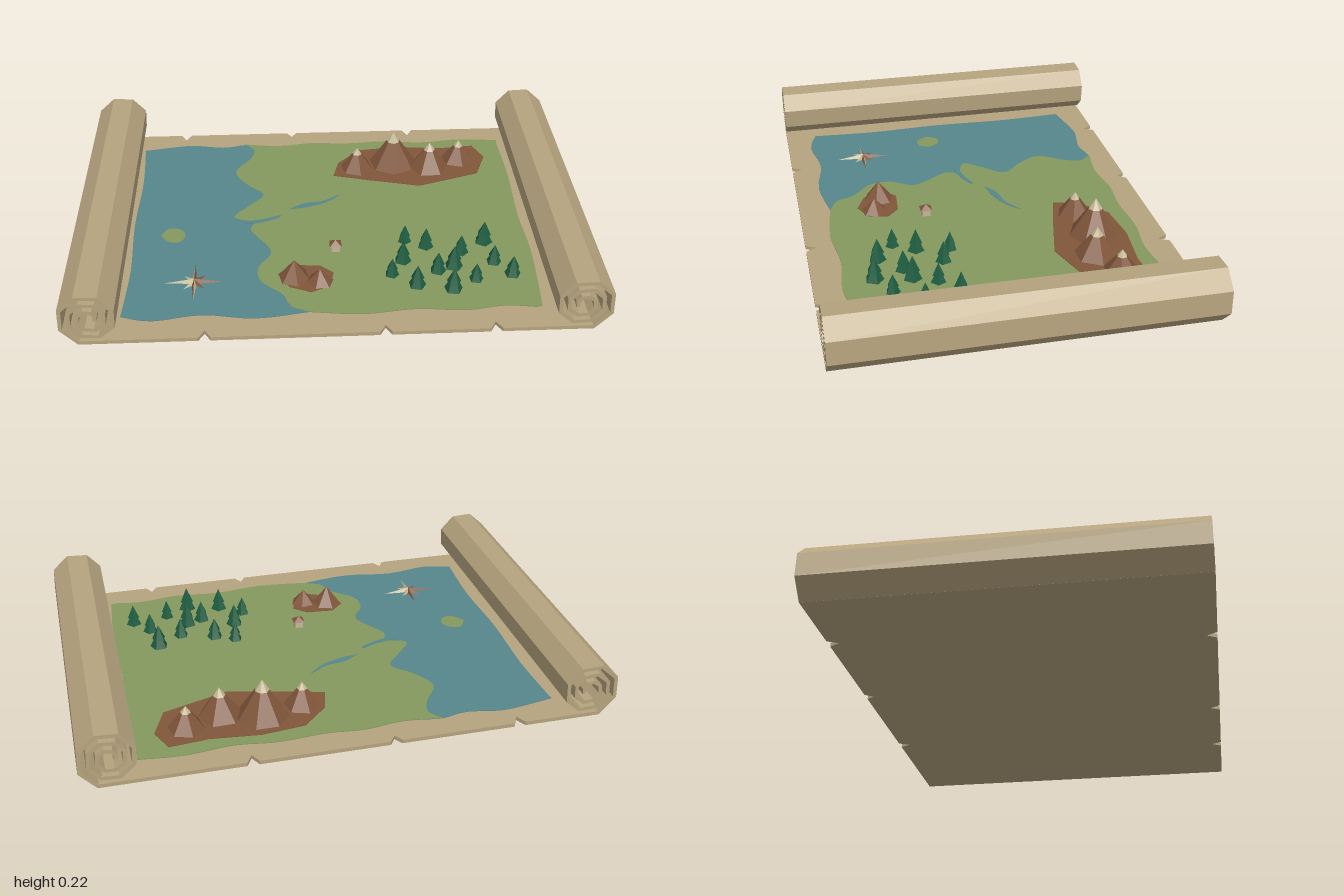
import * as THREE from 'three';

const mat = (name, color, side = THREE.FrontSide) =>
  new THREE.MeshStandardMaterial({ name, color, side, flatShading: true });

export function createModel() {
  const parchment = mat('parchment', 0xb5a37e);
  const sea = mat('sea', 0x55868c);
  const land = mat('land', 0x84995f);
  const rock = mat('rock', 0x80563a);
  const pine = mat('pine', 0x1d5c40);
  const snow = mat('snow', 0xc4b894);
  const root = new THREE.Group();
  root.name = 'mapScroll';
  const TOP = 0.015;

  const add = (name, geometry, material, x = 0, y = 0, z = 0, parent = root) => {
    const m = new THREE.Mesh(geometry, material);
    m.name = name;
    m.position.set(x, y, z);
    parent.add(m);
    return m;
  };
  const group = (name, x, z) => {
    const g = new THREE.Group();
    g.name = name;
    g.position.set(x, TOP, z);
    root.add(g);
    return g;
  };

  // Flat plate from [x, z] outline points, rising from y by depth
  const plate = (name, pts, material, y, depth) => {
    const shape = new THREE.Shape(pts.map(([x, z]) => new THREE.Vector2(x, -z)));
    const geo = new THREE.ExtrudeGeometry(shape, { depth, bevelEnabled: false });
    geo.rotateX(-Math.PI / 2);
    return add(name, geo, material, 0, y);
  };
  const smooth = (pts, n = 4) =>
    new THREE.SplineCurve(pts.map(p => new THREE.Vector2(...p)))
      .getPoints((pts.length - 1) * n).map(p => [p.x, p.y]);

  // Sheet with torn notches along the front and back edges
  const notch = (x, s, depth) => [[x - s * 0.022, s * 0.7], [x, s * (0.7 - depth)], [x + s * 0.022, s * 0.7]];
  plate('sheet', [
    [-0.937, 0.7],
    ...[-0.485, 0.175, 0.58].flatMap(x => notch(x, 1, 0.038)),
    [0.937, 0.7], [0.937, -0.7],
    ...[[0.39, 0.042], [-0.14, 0.032], [-0.62, 0.04]].flatMap(([x, d]) => notch(x, -1, d)),
    [-0.937, -0.7],
  ], parchment, 0, TOP);

  // Rolled ends: eight-sided spirals
  for (const side of [1, -1]) {
    const outer = [], inner = [];
    for (let k = 0; k <= 22; k++) {
      const a = (-67.5 + 45 * k) * Math.PI / 180, r = 0.1237 - 0.0042 * k;
      const at = q => new THREE.Vector2(side * (0.89 + q * Math.cos(a)), 0.1143 + q * Math.sin(a));
      outer.push(at(r));
      inner.push(at(r - 0.015));
    }
    const shape = new THREE.Shape([...outer, ...inner.reverse()]);
    add(side > 0 ? 'leftRoll' : 'rightRoll',
      new THREE.ExtrudeGeometry(shape, { depth: 1.4, bevelEnabled: false }), parchment, 0, 0, -0.7);
  }

  // Painted sea, with the land lying over it
  plate('sea', [
    ...smooth([[-0.8, -0.575], [-0.68, -0.597], [-0.58, -0.607], [-0.45, -0.585], [-0.35, -0.603], [-0.25, -0.59]]),
    [-0.1, -0.4], [-0.1, 0.576],
    ...smooth([[-0.1, 0.576], [-0.3, 0.604], [-0.5, 0.576], [-0.68, 0.602], [-0.8, 0.572]]),
    ...smooth([[-0.798, 0.56], [-0.785, 0.3], [-0.796, 0], [-0.786, -0.3], [-0.797, -0.56]]),
  ], sea, TOP, 0.002);
  plate('land', [
    ...smooth([[-0.35, -0.606], [-0.2, -0.587], [-0.05, -0.605], [0.1, -0.594], [0.28, -0.605],
      [0.44, -0.587], [0.62, -0.605], [0.79, -0.59]]),
    ...smooth([[0.787, -0.56], [0.793, -0.3], [0.782, 0], [0.79, 0.25], [0.77, 0.58]]),
    ...smooth([[0.75, 0.588], [0.63, 0.574], [0.48, 0.594], [0.3, 0.578], [0.1, 0.598], [-0.1, 0.577]]),
    ...smooth([[-0.12, 0.568], [-0.17, 0.54], [-0.2, 0.47], [-0.28, 0.39], [-0.29, 0.3], [-0.24, 0.2],
      [-0.32, 0.06], [-0.31, 0], [-0.39, -0.04], [-0.33, -0.12], [-0.27, -0.2], [-0.34, -0.28],
      [-0.39, -0.38], [-0.33, -0.48], [-0.31, -0.55], [-0.345, -0.6]]),
  ], land, TOP, 0.003);
  plate('island', smooth([[-0.685, 0.075], [-0.655, 0.03], [-0.61, 0.035], [-0.585, 0.075], [-0.605, 0.12],
    [-0.65, 0.12], [-0.685, 0.075]]), land, TOP, 0.003);
  plate('riverMouth', smooth([[-0.35, -0.005], [-0.27, -0.02], [-0.2, -0.045], [-0.22, -0.02], [-0.3, 0.008],
    [-0.35, 0.01]]), sea, TOP, 0.004);
  plate('river', smooth([[-0.165, -0.085], [-0.1, -0.125], [-0.02, -0.14], [0.055, -0.187], [0, -0.135],
    [-0.08, -0.1], [-0.165, -0.085]]), sea, TOP, 0.004);

  // Rocky ground
  plate('mountainGround', [[0.035, -0.33], [0.06, -0.43], [0.16, -0.53], [0.33, -0.55], [0.52, -0.53],
    [0.67, -0.545], [0.71, -0.45], [0.66, -0.32], [0.4, -0.235], [0.18, -0.29]], rock, TOP, 0.005);
  plate('hillGround', [[-0.215, 0.35], [-0.16, 0.295], [-0.05, 0.305], [0, 0.35], [-0.015, 0.43],
    [-0.09, 0.465], [-0.17, 0.43]], rock, TOP, 0.005);

  // Mountains with pale caps
  [[0.14, -0.39, 0.075, 0.105, 6], [0.3, -0.425, 0.105, 0.16, 7], [0.455, -0.385, 0.09, 0.125, 6],
    [0.59, -0.44, 0.075, 0.1, 6]].forEach(([x, z, r, h, n], i) => {
    const g = group('mountain', x, z), cap = 0.27;
    add('slope', new THREE.CylinderGeometry(r * cap, r, h * (1 - cap), n, 1, true), rock, 0, h * (1 - cap) / 2, 0, g);
    add('cap', new THREE.ConeGeometry(r * cap, h * cap, n, 1, true), snow, 0, h * (1 - cap / 2), 0, g);
    g.rotation.y = i * 0.7 + 0.2;
  });
  // Bare hills
  [[-0.152, 0.37, 0.065, 0.085], [-0.055, 0.4, 0.056, 0.062]].forEach(([x, z, r, h], i) => {
    add('hill', new THREE.ConeGeometry(r, h, 6), rock, x, TOP + h / 2, z).rotation.y = i * 0.5 + 0.2;
  });

  // Pine forest, two tiers per tree
  [[0.295, 0.155], [0.375, 0.195], [0.61, 0.175], [0.51, 0.24], [0.275, 0.285], [0.225, 0.37], [0.405, 0.355],
    [0.47, 0.33], [0.63, 0.31], [0.315, 0.44], [0.545, 0.415], [0.69, 0.39], [0.45, 0.47]].forEach(([x, z], i) => {
    const g = group('tree', x, z), s = 0.88 + 0.24 * ((i * 7) % 5) / 4;
    add('lowerBoughs', new THREE.ConeGeometry(0.034, 0.07, 5), pine, 0, 0.035, 0, g);
    add('upperBoughs', new THREE.ConeGeometry(0.025, 0.056, 5), pine, 0, 0.062, 0, g);
    g.scale.setScalar(s);
    g.rotation.y = i * 1.3;
  });

  // Little house
  const house = group('house', 0.015, 0.2);
  add('walls', new THREE.BoxGeometry(0.034, 0.03, 0.034), snow, 0, 0.015, 0, house);
  add('roof', new THREE.ConeGeometry(0.033, 0.02, 4), rock, 0, 0.04, 0, house).rotation.y = Math.PI / 4;

  // Compass star: sixteen raised facets in two tones
  const point = i => {
    const r = i % 2 ? 0.022 : i % 4 ? 0.058 : 0.11, a = i * Math.PI / 8;
    return [r * Math.cos(a), 0.004, r * Math.sin(a)];
  };
  const compass = group('compass', -0.535, 0.385);
  [rock, snow].forEach((material, tone) => {
    const pos = [];
    for (let i = tone; i < 16; i += 2) pos.push(0, 0.022, 0, ...point(i + 1), ...point(i));
    const geo = new THREE.BufferGeometry();
    geo.setAttribute('position', new THREE.Float32BufferAttribute(pos, 3));
    geo.computeVertexNormals();
    add(tone ? 'lightFacets' : 'darkFacets', geo, material, 0, 0, 0, compass);
  });

  return root;
}
